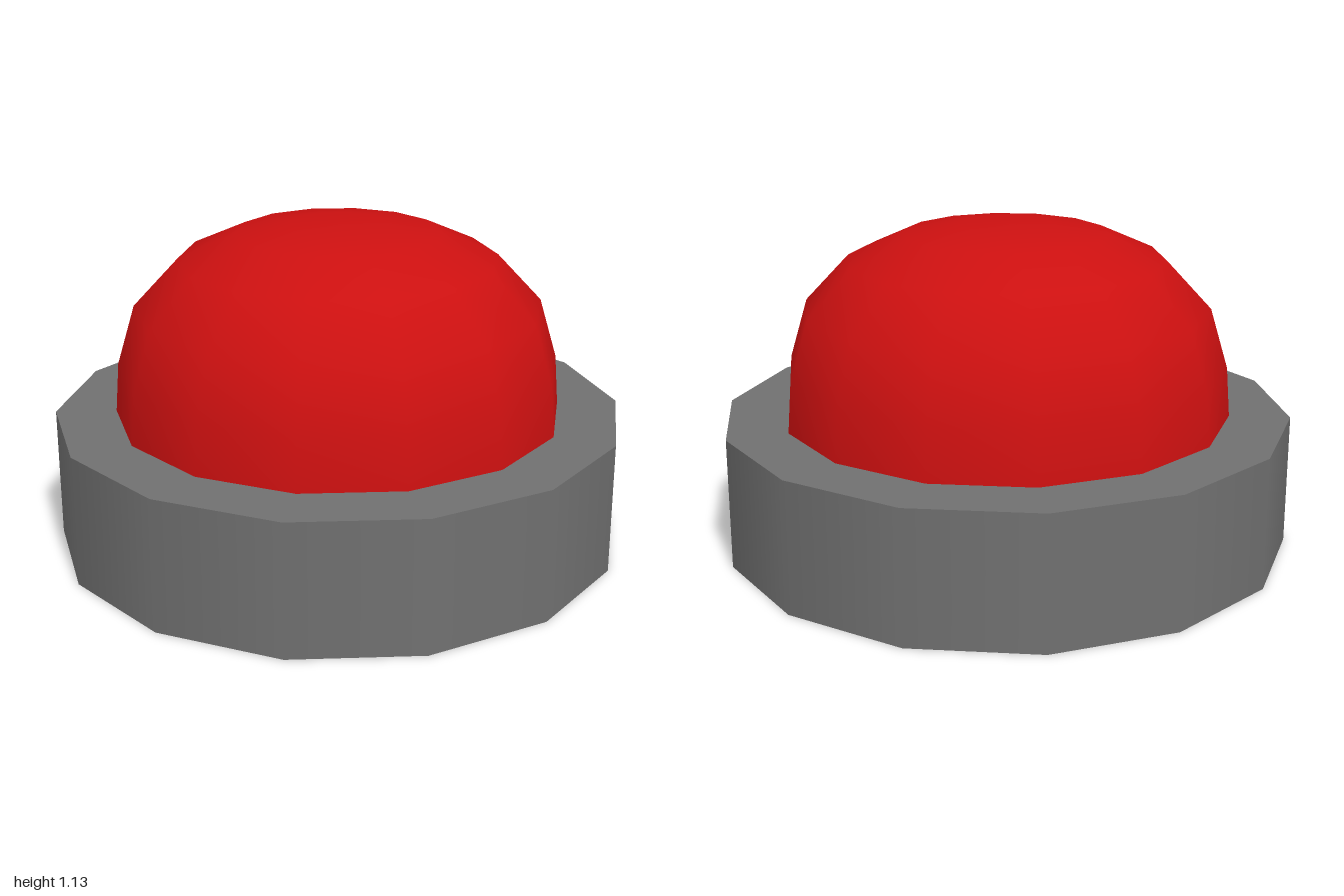
import * as THREE from 'three';

const SIDES = 14;
const BASE_HEIGHT = 0.46;

function addPart(group, name, geometry, color) {
  const mesh = new THREE.Mesh(geometry, new THREE.MeshStandardMaterial({ color }));
  mesh.name = name;
  group.add(mesh);
  return mesh;
}

export function createModel() {
  const group = new THREE.Group();
  group.name = 'pushButton';

  // Round housing, a corner facing the front
  const base = addPart(group, 'base', new THREE.CylinderGeometry(1, 1, BASE_HEIGHT, SIDES), 0x707070);
  base.position.y = BASE_HEIGHT / 2;

  // Domed cap, sunk slightly into the housing; radius and height from rim to crown
  const profile = [
    [0.79, 0.42], [0.787, 0.46], [0.773, 0.635], [0.71, 0.845],
    [0.555, 1.01], [0.355, 1.1], [0.165, 1.128], [0, 1.13],
  ].map(([r, y]) => new THREE.Vector2(r, y));
  addPart(group, 'buttonCap', new THREE.LatheGeometry(profile, SIDES), 0xcc1010);

  return group;
}
